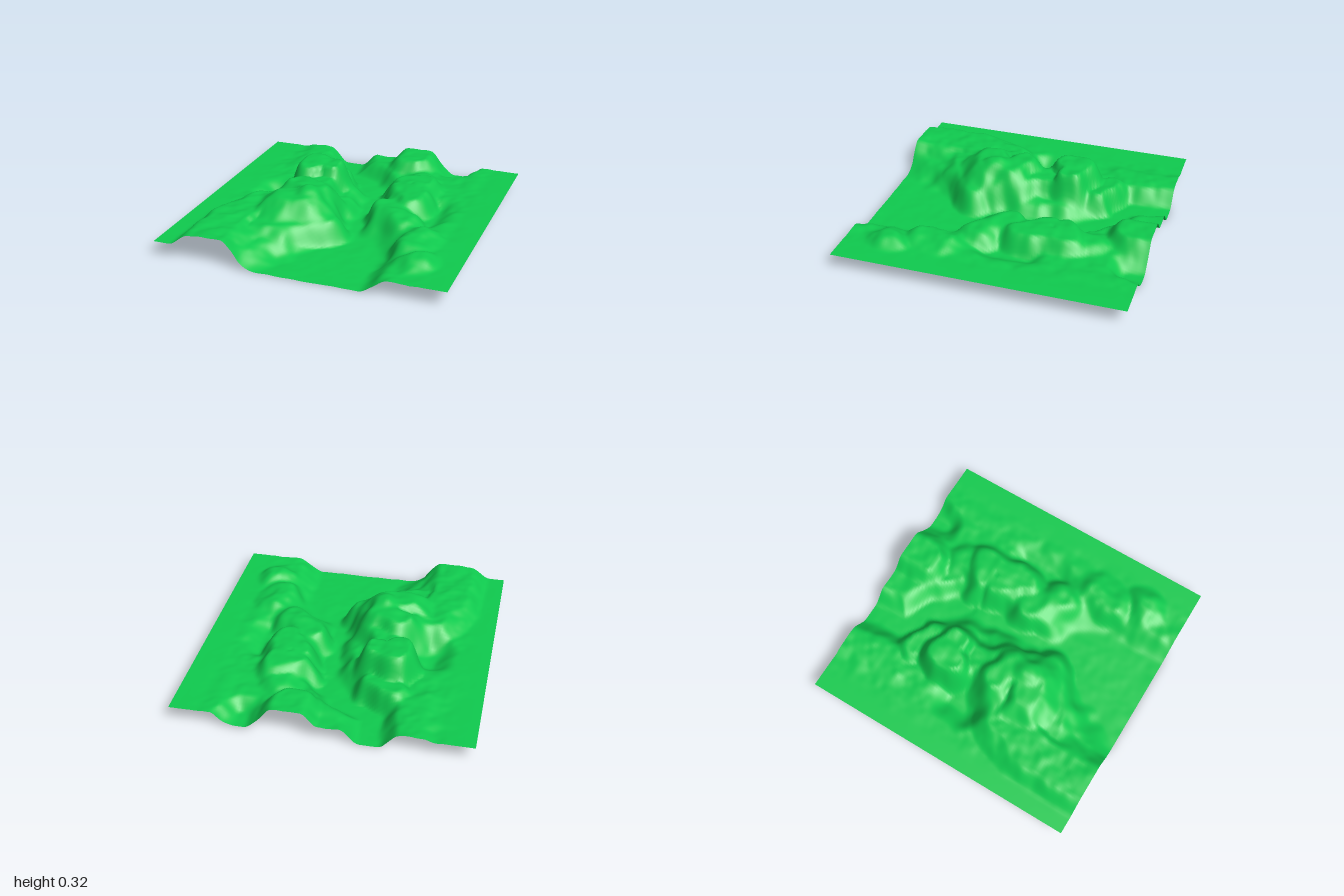
import * as THREE from 'three';

const PLAIN = 0.115;
const SEGMENTS = 120;

// Each landform: path of [x, z] points, target height, flat core radius, outer radius
const valleys = [
  { path: [[-0.33, -1.1], [-0.3, -0.75], [-0.08, -0.6], [0.08, -0.42]], y: 0.018, core: 0.06, outer: 0.2 },
  { path: [[0.08, -0.42], [0.1, 0], [0.12, 0.4]], y: 0.025, core: 0.04, outer: 0.16 },
  { path: [[-0.15, 1.1], [0.08, 0.75], [0.2, 0.5]], y: 0.014, core: 0.16, outer: 0.36 },
  { path: [[0.3, 1.1], [0.3, 0.7]], y: 0.014, core: 0.13, outer: 0.32 },
  { path: [[-0.6, -0.12], [-0.6, -0.02]], y: 0.04, core: 0.02, outer: 0.18 },
  { path: [[0.55, -1.1], [0.54, -0.92]], y: 0.03, core: 0.03, outer: 0.17 },
  { path: [[0.6, -0.2], [0.58, 0.05]], y: 0.06, core: 0.02, outer: 0.16 },
];
const hills = [
  // western plateau
  { path: [[-0.63, 1.1], [-0.64, 0.6], [-0.55, 0.3]], y: 0.2, core: 0.11, outer: 0.25 },
  // terrace below the main mountain
  { path: [[-0.52, 0.65], [-0.28, 0.52], [-0.03, 0.36]], y: 0.17, core: 0.05, outer: 0.17 },
  // main mountain and its summit
  { path: [[-0.34, 0.08], [-0.21, 0.14], [-0.2, 0.29], [-0.34, 0.34]], y: 0.295, core: 0.07, outer: 0.23 },
  { path: [[-0.18, 0.25]], y: 0.33, core: 0.01, outer: 0.11 },
  // northern mountain, its shoulder and the saddle
  { path: [[-0.4, -0.24], [-0.37, -0.34], [-0.25, -0.3]], y: 0.3, core: 0.06, outer: 0.18 },
  { path: [[-0.4, -0.55], [-0.24, -0.5]], y: 0.17, core: 0.04, outer: 0.14 },
  { path: [[-0.3, -0.2], [-0.2, 0.1]], y: 0.23, core: 0.05, outer: 0.19 },
  // eastern mountain and its spur
  { path: [[0.27, -0.4], [0.42, -0.45], [0.42, -0.12], [0.28, -0.28]], y: 0.2, core: 0.05, outer: 0.17 },
  { path: [[0.27, -0.02], [0.45, 0.14]], y: 0.175, core: 0.05, outer: 0.18 },
  { path: [[0.35, -0.6]], y: 0.16, core: 0.03, outer: 0.15 },
  // back hill and small outer hills
  { path: [[0.22, -1.1], [0.22, -0.85]], y: 0.207, core: 0.09, outer: 0.2 },
  { path: [[0.73, 0.7]], y: 0.182, core: 0.04, outer: 0.17 },
  { path: [[0.6, 0.48], [0.64, 0.32]], y: 0.165, core: 0.03, outer: 0.17 },
  { path: [[-0.62, -1.1], [-0.58, -0.6]], y: 0.135, core: 0.04, outer: 0.15 },
];

function hash(i, j) {
  const s = Math.sin(i * 127.1 + j * 311.7) * 43758.5453;
  return s - Math.floor(s);
}

// Smooth value noise in -1..1
function noise(x, z) {
  const i = Math.floor(x), j = Math.floor(z);
  const u = THREE.MathUtils.smoothstep(x - i, 0, 1);
  const v = THREE.MathUtils.smoothstep(z - j, 0, 1);
  const a = THREE.MathUtils.lerp(hash(i, j), hash(i + 1, j), u);
  const b = THREE.MathUtils.lerp(hash(i, j + 1), hash(i + 1, j + 1), u);
  return THREE.MathUtils.lerp(a, b, v) * 2 - 1;
}

function distanceToPath(x, z, path) {
  let best = Infinity;
  path.forEach(([ax, az], i) => {
    const [bx, bz] = path[Math.min(i + 1, path.length - 1)];
    const dx = bx - ax, dz = bz - az;
    const len = dx * dx + dz * dz || 1;
    const t = THREE.MathUtils.clamp(((x - ax) * dx + (z - az) * dz) / len, 0, 1);
    best = Math.min(best, Math.hypot(x - ax - dx * t, z - az - dz * t));
  });
  return best;
}

function heightAt(x, z) {
  const fade = 1 - THREE.MathUtils.smoothstep(Math.abs(x), 0.65, 0.95);
  // wobble the landform outlines
  const wx = x + 0.025 * noise(x * 9, z * 9);
  const wz = z + 0.025 * noise(x * 9 + 40, z * 9 + 17);
  const mask = (f) => 1 - THREE.MathUtils.smoothstep(distanceToPath(wx, wz, f.path), f.core, f.outer);
  let y = PLAIN;
  for (const f of valleys) y += Math.min(0, f.y - y) * mask(f);
  for (const f of hills) y += Math.max(0, f.y - y) * mask(f);
  // fine roughness, weaker on the valley floors
  const rough = fade * THREE.MathUtils.clamp(y / 0.12, 0.3, 1);
  y += rough * (0.008 * noise(x * 11 + 5, z * 11) + 0.004 * noise(x * 22, z * 22 + 9));
  return THREE.MathUtils.lerp(y, PLAIN, THREE.MathUtils.smoothstep(Math.abs(x), 0.82, 0.98));
}

export function createModel() {
  const group = new THREE.Group();
  group.name = 'landscape';

  const grass = new THREE.MeshStandardMaterial({ color: 0x0fca4e, side: THREE.DoubleSide });
  grass.name = 'grass green';

  // Open terrain sheet, raised by the landform rule
  const geometry = new THREE.PlaneGeometry(2, 2, SEGMENTS, SEGMENTS);
  geometry.rotateX(-Math.PI / 2);
  const pos = geometry.attributes.position;
  for (let i = 0; i < pos.count; i++) pos.setY(i, heightAt(pos.getX(i), pos.getZ(i)));
  geometry.computeBoundingBox();
  geometry.translate(0, -geometry.boundingBox.min.y, 0);
  geometry.computeVertexNormals();

  const terrain = new THREE.Mesh(geometry, grass);
  terrain.name = 'terrain';
  group.add(terrain);
  return group;
}
